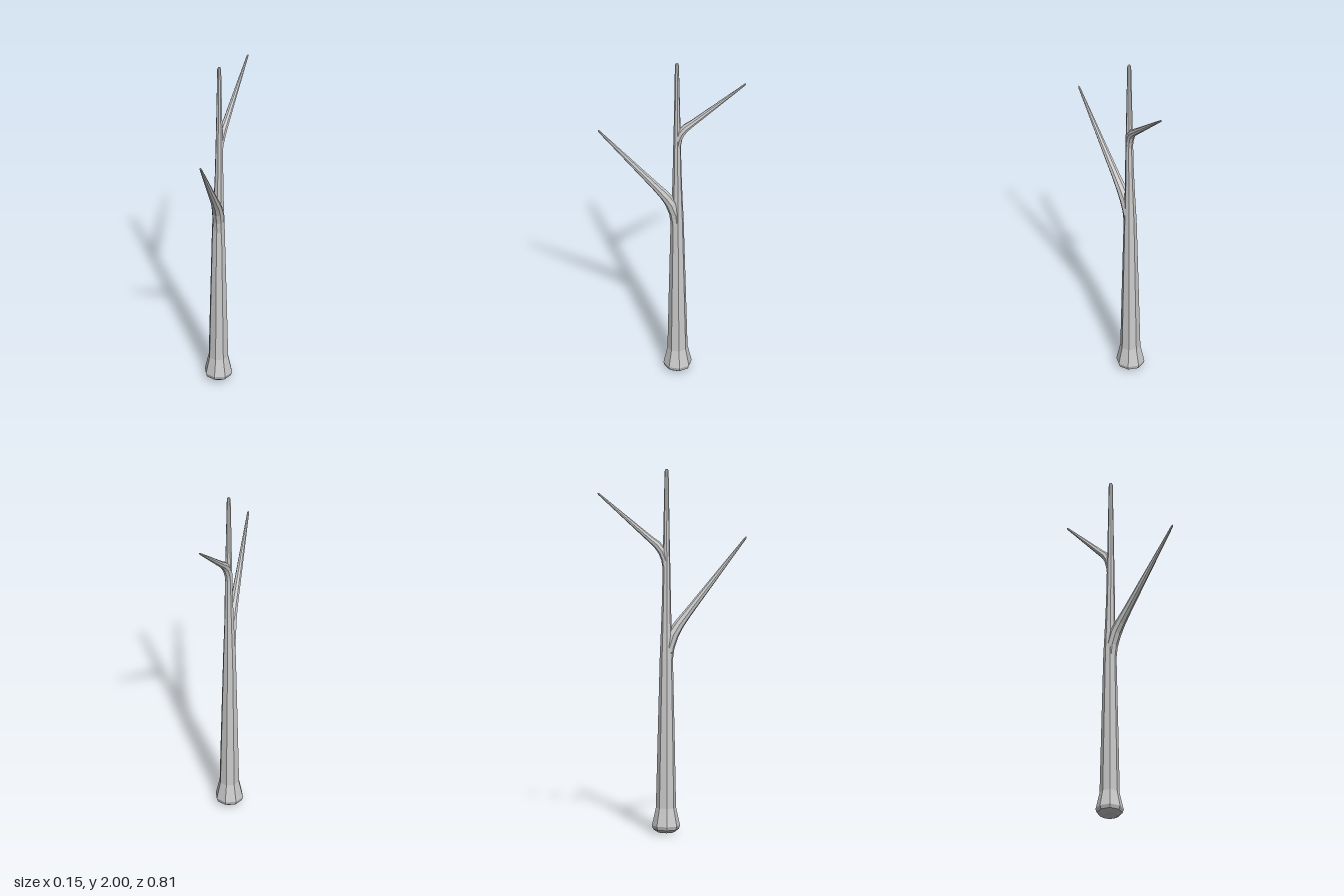
import * as THREE from 'three';

const SIDES = 8;
const material = new THREE.MeshStandardMaterial({ color: 0xcccccc, flatShading: true });

// Skin octagonal rings along a path; each station is [x, y, z, radius]
function limb(name, stations) {
  const centres = stations.map(([x, y, z]) => new THREE.Vector3(x, y, z));
  const positions = [], index = [];
  stations.forEach(([, , , r], i) => {
    const before = centres[Math.max(i - 1, 0)];
    const after = centres[Math.min(i + 1, centres.length - 1)];
    const t = after.clone().sub(before).normalize();
    const u = new THREE.Vector3(1, 0, 0).addScaledVector(t, -t.x).normalize();
    const v = t.clone().cross(u);
    for (let j = 0; j < SIDES; j++) {
      const a = (j / SIDES) * Math.PI * 2;
      const p = centres[i].clone().addScaledVector(u, r * Math.cos(a)).addScaledVector(v, r * Math.sin(a));
      positions.push(p.x, p.y, p.z);
    }
  });
  for (let i = 0; i < stations.length - 1; i++) {
    for (let j = 0; j < SIDES; j++) {
      const a = i * SIDES + j, b = i * SIDES + (j + 1) % SIDES;
      const c = b + SIDES, d = a + SIDES;
      // A zero radius closes the end as a fan
      if (stations[i][3] > 0) index.push(a, b, c);
      if (stations[i + 1][3] > 0) index.push(a, c, d);
      else index.push(a, b, d);
    }
  }
  let geometry = new THREE.BufferGeometry();
  geometry.setAttribute('position', new THREE.Float32BufferAttribute(positions, 3));
  geometry.setIndex(index);
  geometry = geometry.toNonIndexed();
  geometry.computeVertexNormals();
  const mesh = new THREE.Mesh(geometry, material);
  mesh.name = name;
  return mesh;
}

export function createModel() {
  const tree = new THREE.Group();
  tree.name = 'bareTree';

  // Flared foot, long taper, thinner above each fork, rounded tip
  tree.add(limb('trunk', [
    [0, 0, -0.037, 0],
    [0, 0.005, -0.037, 0.045],
    [0, 0.022, -0.037, 0.07],
    [0, 0.042, -0.037, 0.077],
    [0, 0.14, -0.037, 0.055],
    [0, 0.5, -0.036, 0.047],
    [0, 0.96, -0.035, 0.036],
    [0.002, 1.15, -0.035, 0.028],
    [0.004, 1.3, -0.034, 0.024],
    [0.005, 1.47, -0.034, 0.021],
    [0.005, 1.61, -0.034, 0.018],
    [0.005, 1.985, -0.033, 0.011],
    [0.005, 1.997, -0.033, 0.007],
    [0.005, 2, -0.033, 0],
  ]));

  // Lower branch, sweeping out to the front
  tree.add(limb('frontBranch', [
    [0.002, 0.93, -0.032, 0.03],
    [0.003, 1.02, -0.022, 0.032],
    [0.006, 1.09, 0.002, 0.032],
    [0.01, 1.145, 0.036, 0.028],
    [0.013, 1.21, 0.086, 0.023],
    [0.028, 1.612, 0.4, 0.0055],
    [0.028, 1.62, 0.405, 0],
  ]));

  // Upper branch, sweeping out to the back
  tree.add(limb('backBranch', [
    [0.005, 1.43, -0.035, 0.016],
    [0.007, 1.5, -0.041, 0.021],
    [0.011, 1.545, -0.056, 0.023],
    [0.016, 1.58, -0.082, 0.022],
    [0.022, 1.612, -0.12, 0.018],
    [0.057, 1.859, -0.4, 0.005],
    [0.058, 1.865, -0.406, 0],
  ]));

  return tree;
}
